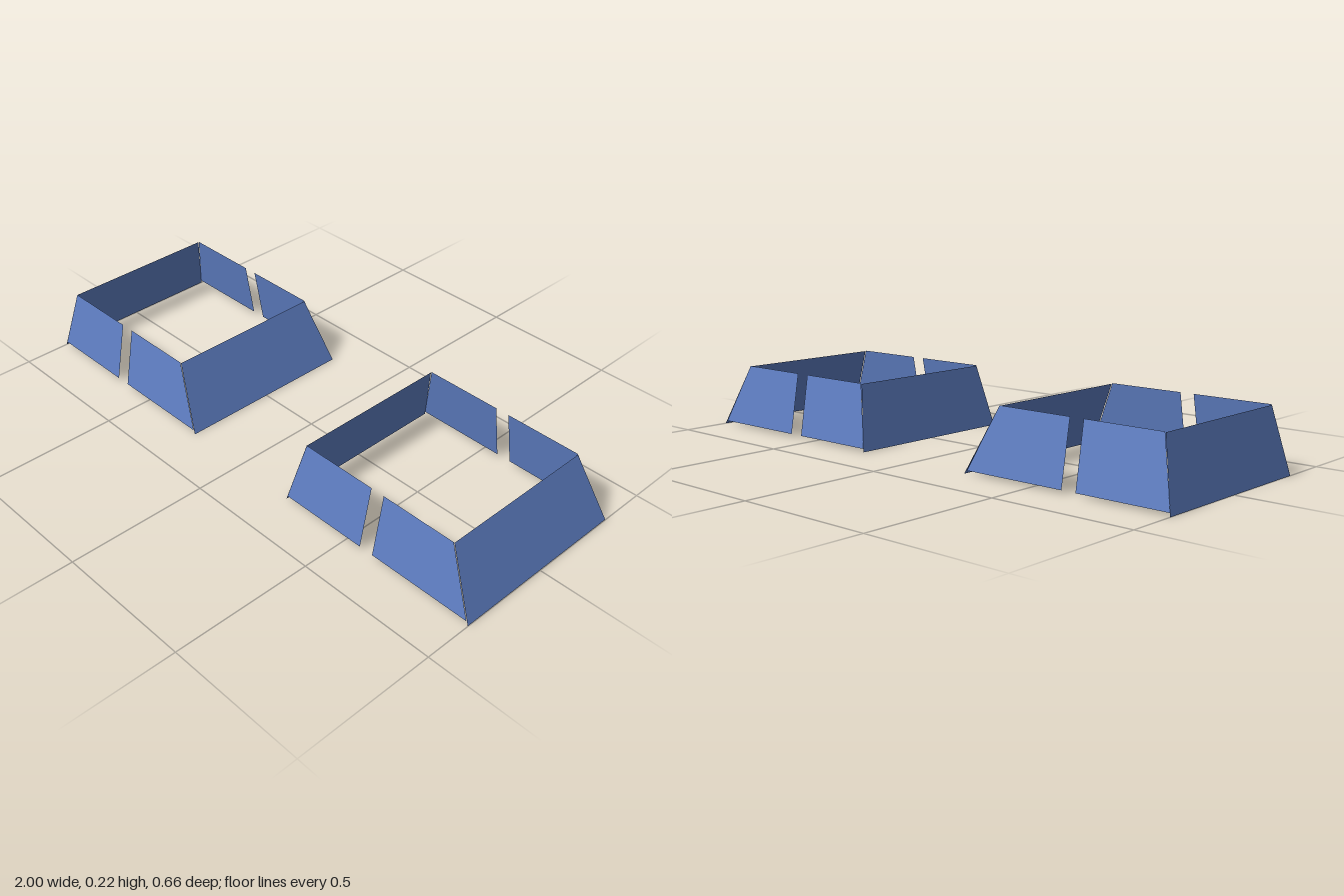
import * as THREE from 'three';

const material = new THREE.MeshStandardMaterial({ color: 0x5f7fc4, side: THREE.DoubleSide, flatShading: true });

// Flat four-cornered panel, corners counter-clockwise seen from outside
function panel(name, a, b, c, d) {
  const geometry = new THREE.BufferGeometry();
  geometry.setAttribute('position', new THREE.Float32BufferAttribute([a, b, c, a, c, d].flat(), 3));
  geometry.computeVertexNormals();
  const mesh = new THREE.Mesh(geometry, material);
  mesh.name = name;
  return mesh;
}

// Front or back half panel: s is +1 for front, -1 for back
function wallPanel(name, s, [b0, b1, t1, t0]) {
  const low = 0.011, high = 0.225, zLow = 0.328 * s, zHigh = 0.289 * s;
  const corners = [[b0, low, zLow], [b1, low, zLow], [t1, high, zHigh], [t0, high, zHigh]];
  return panel(name, ...(s > 0 ? corners : corners.reverse()));
}

// Sloping end panel: s is +1 for the left end, -1 for the right end
function endPanel(name, s, xLow, xHigh) {
  const corners = [[xLow, 0, 0.331], [xLow, 0, -0.331], [xHigh, 0.223, -0.288], [xHigh, 0.223, 0.288]];
  return panel(name, ...(s > 0 ? corners : corners.reverse()));
}

// Open ring of six inward-leaning panels with a gap at front and back
function createEnclosure(name, x) {
  const group = new THREE.Group();
  group.name = name;
  group.position.x = x;
  for (const [side, s] of [['front', 1], ['back', -1]]) {
    group.add(wallPanel(side + 'RightPanel', s, [-0.382, -0.055, -0.051, -0.332]));
    group.add(wallPanel(side + 'LeftPanel', s, [-0.003, 0.374, 0.273, -0.001]));
  }
  group.add(endPanel('rightEndPanel', -1, -0.384, -0.334));
  group.add(endPanel('leftEndPanel', 1, 0.383, 0.275));
  return group;
}

export function createModel() {
  const model = new THREE.Group();
  model.name = 'panelEnclosures';
  model.add(createEnclosure('rightEnclosure', -0.616), createEnclosure('leftEnclosure', 0.616));
  return model;
}
